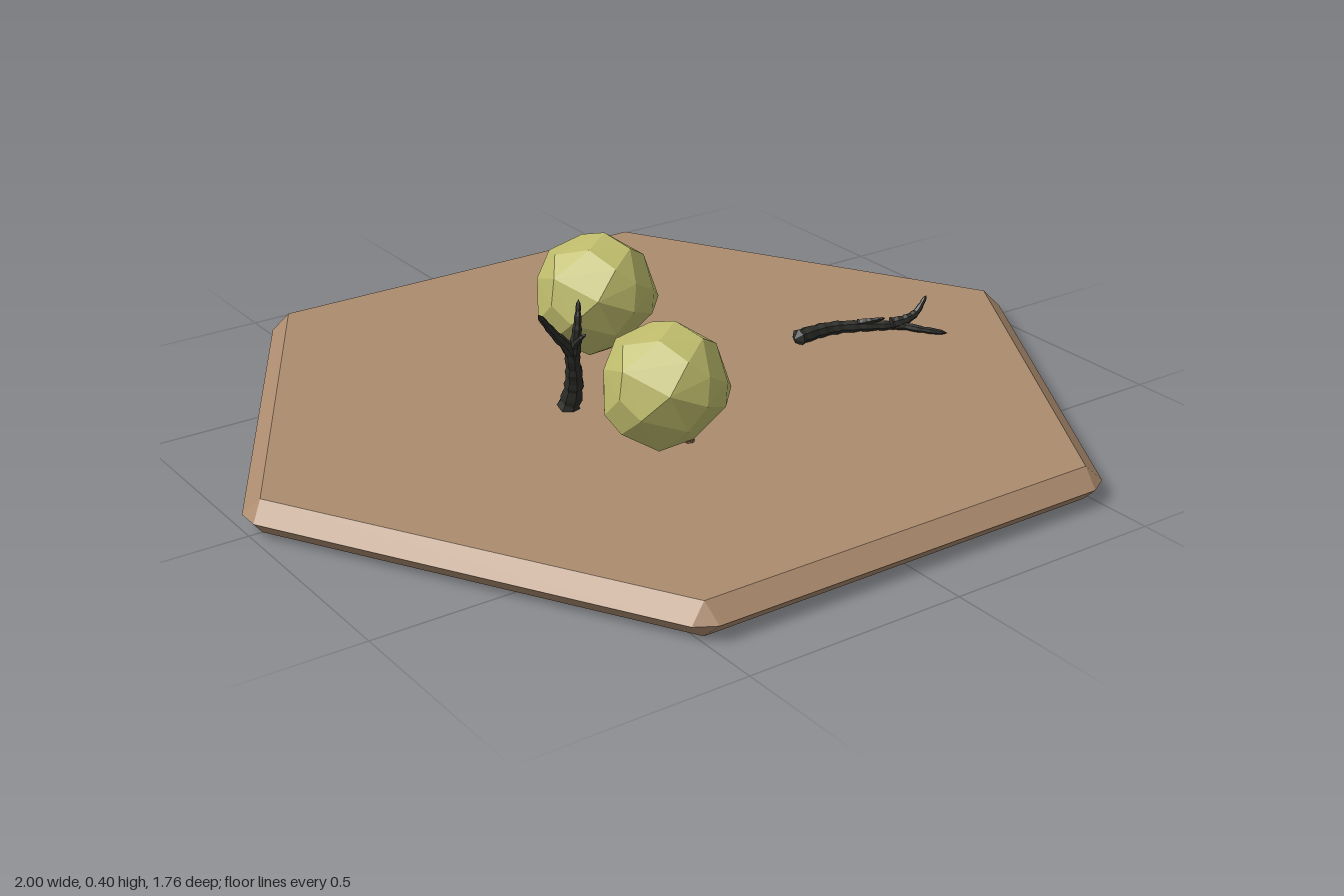
import * as THREE from 'three';
import { ConvexGeometry } from 'three/addons/geometries/ConvexGeometry.js';

const flat = (name, color) => {
  const m = new THREE.MeshStandardMaterial({ color, flatShading: true });
  m.name = name;
  return m;
};

const V = (x, y, z) => new THREE.Vector3(x, y, z);

function mesh(name, geometry, material) {
  const m = new THREE.Mesh(geometry, material);
  m.name = name;
  return m;
}

// Small seeded generator, 0 to 1
function seeded(seed) {
  return () => {
    seed = (seed * 16807) % 2147483647;
    return seed / 2147483647;
  };
}

// Closed tapering limb along a smooth path, radius r0 to r1
function limb(name, points, r0, r1, material, sides = 7) {
  const curve = new THREE.CatmullRomCurve3(points.map(p => V(...p)));
  const segments = points.length * 4;
  const geo = new THREE.TubeGeometry(curve, segments, 1, sides);
  const pos = geo.attributes.position;
  const v = V();
  for (let i = 0; i <= segments; i++) {
    const t = i / segments;
    const c = curve.getPointAt(t);
    // the end rings close to a point
    const knot = 1 + 0.1 * Math.sin(i * 2.3);
    const r = i === 0 || i === segments ? 0 : (r0 + (r1 - r0) * t) * knot;
    for (let j = 0; j <= sides; j++) {
      const k = i * (sides + 1) + j;
      v.fromBufferAttribute(pos, k).sub(c).multiplyScalar(r).add(c);
      pos.setXYZ(k, v.x, v.y, v.z);
    }
  }
  return mesh(name, geo, material);
}

// Hexagonal slab with bevelled rim and clipped corners
function slab(material) {
  const points = [];
  const axis = V(0, 1, 0);
  for (let i = 0; i < 6; i++) {
    const a = i * Math.PI / 3;
    points.push(
      V(0.97, 0, 0).applyAxisAngle(axis, a),
      V(0.97, 0.075, 0).applyAxisAngle(axis, a),
      V(1, 0.0375, 0.026).applyAxisAngle(axis, a),
      V(1, 0.0375, -0.026).applyAxisAngle(axis, a)
    );
  }
  return mesh('groundSlab', new ConvexGeometry(points), material);
}

// Faceted crown: hull of jittered points spread over a sphere
function crownGeometry() {
  const random = seeded(4217);
  const points = [];
  const n = 38;
  for (let i = 0; i < n; i++) {
    const y = 1 - 2 * (i + 0.5) / n;
    const a = i * 2.39996 + (random() - 0.5) * 0.45;
    const r = Math.sqrt(1 - y * y);
    const s = 0.96 + random() * 0.08;
    points.push(V(r * Math.cos(a) * 0.141 * s, y * 0.134 * s, r * Math.sin(a) * 0.136 * s));
  }
  points.push(V(0.148, -0.03, 0.035));
  return new ConvexGeometry(points);
}

// Leafy tree, origin at the crown centre
function leafyTree(name, crown, x, y, z, leaf, bark) {
  const tree = new THREE.Group();
  tree.name = name;
  tree.add(mesh('crown', crown, leaf));
  tree.add(limb('trunk', [[0.05, -0.205, 0.015], [0.052, -0.17, 0.015], [0.054, -0.13, 0.013], [0.03, -0.06, 0]], 0.015, 0.008, bark, 6));
  // root flare
  const flare = mesh('rootFlare', new THREE.CylinderGeometry(0.009, 0.018, 0.035, 6), bark);
  flare.position.set(0.05, -0.182, 0.015);
  tree.add(flare);
  tree.add(limb('sideBranch', [[0.053, -0.14, 0.014], [0.04, -0.115, 0.025], [0.02, -0.07, 0.03]], 0.007, 0.004, bark, 5));
  tree.position.set(x, y, z);
  return tree;
}

export function createModel() {
  const earth = flat('earth', 0xac8b6e);
  const leaf = flat('leaf', 0xbfbc6c);
  const bark = flat('bark', 0x795b48);
  const charred = flat('charredWood', 0x2c2c28);

  const model = new THREE.Group();
  model.name = 'hexagonalGround';
  model.add(slab(earth));

  // Two leafy trees share one crown
  const crown = crownGeometry();
  model.add(leafyTree('backTree', crown, -0.08, 0.27, -0.13, leaf, bark));
  model.add(leafyTree('frontTree', crown, -0.168, 0.215, 0.262, leaf, bark));

  // Standing dead tree with a fork
  const dead = new THREE.Group();
  dead.name = 'deadTree';
  dead.add(
    limb('deadTrunk', [[-0.23, 0.065, -0.015], [-0.227, 0.12, 0.005], [-0.24, 0.18, 0.03], [-0.262, 0.24, 0.048], [-0.305, 0.29, 0.055], [-0.35, 0.348, 0.067]], 0.026, 0.005, charred),
    limb('deadBranch', [[-0.25, 0.215, 0.04], [-0.252, 0.26, 0.058], [-0.25, 0.3, 0.062], [-0.24, 0.352, 0.052]], 0.017, 0.004, charred),
    limb('deadTwig', [[-0.258, 0.24, 0.05], [-0.258, 0.27, 0.075], [-0.25, 0.29, 0.095]], 0.01, 0.003, charred, 5)
  );
  model.add(dead);

  // Fallen log lying on the ground
  const log = new THREE.Group();
  log.name = 'fallenLog';
  log.add(
    limb('logTrunk', [[0.385, 0.088, -0.002], [0.45, 0.09, -0.006], [0.51, 0.09, 0.002], [0.58, 0.09, 0.04], [0.64, 0.088, 0.075], [0.67, 0.085, 0.115], [0.712, 0.08, 0.158]], 0.02, 0.006, charred),
    limb('logBranch', [[0.615, 0.092, 0.06], [0.655, 0.1, 0.075], [0.685, 0.112, 0.077], [0.713, 0.148, 0.078]], 0.016, 0.004, charred),
    limb('logTwig', [[0.55, 0.095, 0.02], [0.58, 0.105, 0.045], [0.605, 0.11, 0.06]], 0.011, 0.003, charred, 5)
  );
  model.add(log);

  // Stub barely breaking the ground
  const stub = mesh('buriedStub', new THREE.CylinderGeometry(0.009, 0.012, 0.02, 6), charred);
  stub.position.set(0.128, 0.067, -0.57);
  model.add(stub);

  return model;
}
